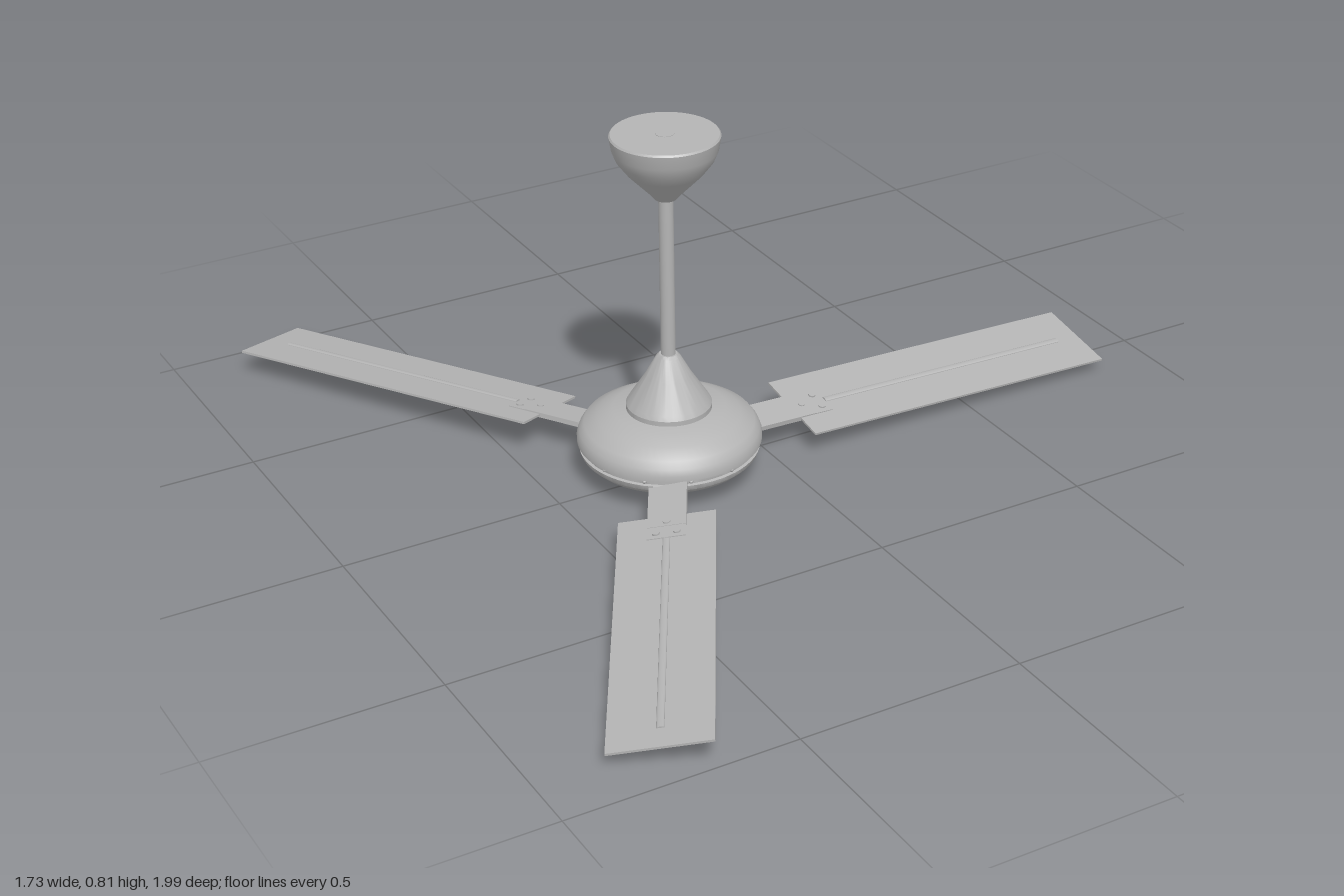
import * as THREE from 'three';
import { toCreasedNormals } from 'three/addons/utils/BufferGeometryUtils.js';

export function createModel() {
  const model = new THREE.Group();
  model.name = 'ceilingFan';
  const fan = new THREE.Group();
  fan.name = 'fan';
  fan.position.x = -0.23;
  model.add(fan);

  const grey = new THREE.MeshStandardMaterial({ color: 0xb4b4b4 });
  grey.name = 'paintedGrey';

  const add = (parent, name, geometry, x = 0, y = 0, z = 0) => {
    const mesh = new THREE.Mesh(geometry, grey);
    mesh.name = name;
    mesh.position.set(x, y, z);
    parent.add(mesh);
    return mesh;
  };
  // Turned part from [radius, height] points, listed bottom to top
  const turned = (name, points) => add(fan, name, toCreasedNormals(
    new THREE.LatheGeometry(points.map(([r, y]) => new THREE.Vector2(r, y)), 64), 0.5));

  // Ceiling canopy, rod and lower cone cover
  turned('canopy', [[0, 0.658], [0.024, 0.658], [0.032, 0.668], [0.082, 0.72], [0.103, 0.748],
    [0.112, 0.77], [0.117, 0.8], [0.114, 0.804], [0, 0.804]]);
  add(fan, 'rod', new THREE.CylinderGeometry(0.016, 0.016, 0.54, 32), 0, 0.535, 0);
  add(fan, 'rodTop', new THREE.CylinderGeometry(0.02, 0.02, 0.003, 32), 0, 0.8035, 0);
  turned('coneCover', [[0, 0.155], [0.093, 0.155], [0.093, 0.175], [0.088, 0.184],
    [0.05, 0.243], [0.026, 0.287], [0.02, 0.293], [0, 0.293]]);

  // Motor housing with a recessed band around the rim, and bottom cap
  turned('motorHousing', [[0, 0.026], [0.115, 0.026], [0.15, 0.034], [0.178, 0.05], [0.193, 0.064],
    [0.197, 0.076], [0.191, 0.078], [0.191, 0.088], [0.201, 0.09], [0.201, 0.102], [0.196, 0.116],
    [0.185, 0.131], [0.155, 0.148], [0.122, 0.163], [0, 0.168]]);
  turned('bottomCap', [[0, 0], [0.055, 0.003], [0.066, 0.009], [0.071, 0.02], [0.071, 0.03]]);

  // Small rim screws
  for (let i = 0; i < 12; i++) {
    const a = (i + 0.5) * Math.PI / 6;
    add(fan, 'rimScrew', new THREE.SphereGeometry(0.005, 10, 6),
      0.191 * Math.cos(a), 0.083, 0.191 * Math.sin(a));
  }

  // Three pitched, slightly drooping blades on flat arms
  for (let i = 0; i < 3; i++) {
    const spoke = new THREE.Group();
    spoke.name = 'bladeSpoke';
    spoke.rotation.y = i * Math.PI * 2 / 3;
    fan.add(spoke);
    const blade = new THREE.Group();
    blade.name = 'bladeAssembly';
    blade.position.y = 0.081;
    blade.rotation.set(0.155, 0, -0.032);
    spoke.add(blade);

    add(blade, 'blade', new THREE.BoxGeometry(0.782, 0.005, 0.207), 0.701, -0.001, 0);
    add(blade, 'bladeArm', new THREE.BoxGeometry(0.21, 0.011, 0.082), 0.245, -0.001, 0);
    add(blade, 'armPad', new THREE.BoxGeometry(0.08, 0.009, 0.082), 0.352, -0.001, 0);

    // Low stiffening rib along the middle of the blade
    const rib = add(blade, 'bladeRib', new THREE.CylinderGeometry(0.008, 0.008, 0.64, 12), 0.715, 0.0015, 0);
    rib.rotation.z = Math.PI / 2;
    rib.scale.x = 0.4;

    // Pad screws, showing above and below
    for (const [x, z] of [[0.375, 0.022], [0.375, -0.022], [0.335, 0]]) {
      add(blade, 'padScrew', new THREE.CylinderGeometry(0.008, 0.008, 0.016, 14), x, -0.001, z);
    }
  }
  return model;
}
